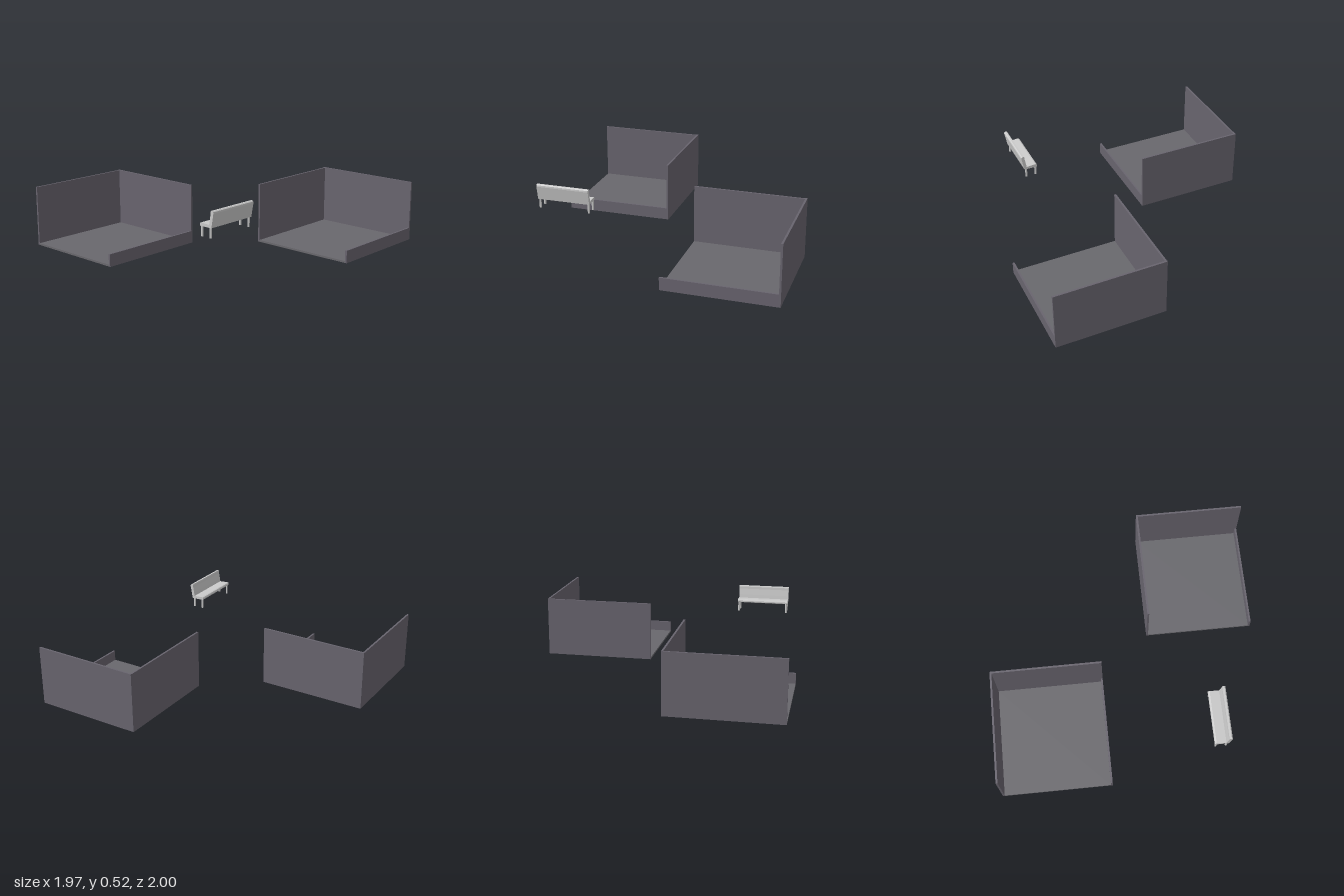
import * as THREE from 'three';

const wallMat = new THREE.MeshStandardMaterial({ name: 'wallGrey', color: 0x68646e });
const floorMat = new THREE.MeshStandardMaterial({ name: 'floorGrey', color: 0x69686d });
const benchMat = new THREE.MeshStandardMaterial({ name: 'benchGrey', color: 0xcacaca });

// Box given by its minimum and maximum corners
function box(name, mat, [x0, y0, z0], [x1, y1, z1]) {
  const mesh = new THREE.Mesh(new THREE.BoxGeometry(x1 - x0, y1 - y0, z1 - z0), mat);
  mesh.position.set((x0 + x1) / 2, (y0 + y1) / 2, (z0 + z1) / 2);
  mesh.name = name;
  return mesh;
}

// Open room: floor, tall back and left walls, low front wall
function createRoom(name, x, y, z) {
  const W = 0.822, D = 0.814, H = 0.445, T = 0.014, LOW = 0.092;
  const room = new THREE.Group();
  room.name = name;
  room.add(
    box('floor', floorMat, [0, 0, T], [W - T, T, D - T]),
    box('backWall', wallMat, [0, 0, 0], [W - T, H, T]),
    box('sideWall', wallMat, [W - T, 0, 0], [W, H + 0.002, D]),
    box('frontKerb', wallMat, [0, 0, D - T], [W - T, LOW, D])
  );
  room.position.set(x, y, z);
  return room;
}

// Side profile in (z, y) stretched along x, centred
function slab(name, points, length) {
  const shape = new THREE.Shape(points.map(p => new THREE.Vector2(...p)));
  const geo = new THREE.ExtrudeGeometry(shape, { depth: length, bevelEnabled: false });
  geo.translate(0, 0, -length / 2).rotateY(-Math.PI / 2);
  const mesh = new THREE.Mesh(geo, benchMat);
  mesh.name = name;
  return mesh;
}

// Bench facing the back, with a leaning backrest and four round legs
function createBench() {
  const bench = new THREE.Group();
  bench.name = 'bench';
  const L = 0.39;
  bench.add(
    slab('seat', [[0.56, 0.41], [0.655, 0.41], [0.655, 0.428], [0.568, 0.434],
      [0.559, 0.431], [0.555, 0.423], [0.555, 0.414]], L),
    slab('backrest', [[0.635, 0.41], [0.657, 0.41], [0.668, 0.47], [0.675, 0.508],
      [0.674, 0.519], [0.667, 0.525], [0.654, 0.525], [0.651, 0.517], [0.65, 0.5], [0.642, 0.455]], L)
  );
  const legGeo = new THREE.CylinderGeometry(0.008, 0.008, 0.072, 12);
  for (const x of [-0.185, 0.185]) {
    for (const z of [0.568, 0.642]) {
      const leg = new THREE.Mesh(legGeo, benchMat);
      leg.position.set(x, 0.376, z);
      leg.name = 'leg';
      bench.add(leg);
    }
  }
  bench.position.x = -0.66;
  return bench;
}

export function createModel() {
  const model = new THREE.Group();
  model.name = 'roomsAndBench';
  model.add(
    createRoom('rearRoom', -0.987, 0, -1),
    createRoom('frontRoom', 0.163, 0.01, 0.186),
    createBench()
  );
  return model;
}
